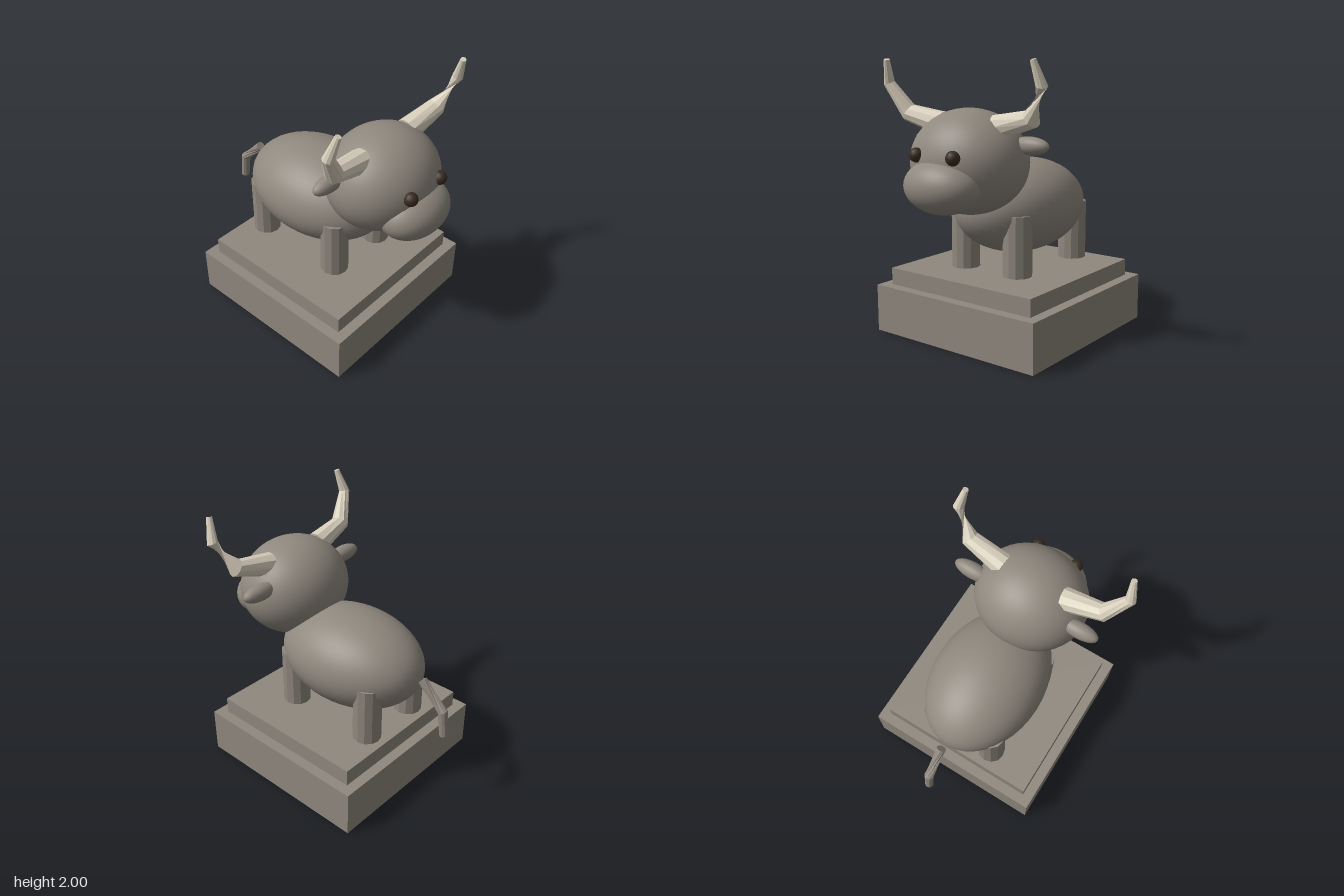
import * as THREE from 'three';

const stone = new THREE.MeshStandardMaterial({ color: 0x8f887e });
stone.name = 'stone';
const horn = new THREE.MeshStandardMaterial({ color: 0xd8cfbc, side: THREE.DoubleSide });
horn.name = 'horn';
const eyeDark = new THREE.MeshStandardMaterial({ color: 0x382c21 });
eyeDark.name = 'eyeDark';

// Give every face its own normal
function faceted(geometry) {
  const g = geometry.index ? geometry.toNonIndexed() : geometry;
  g.computeVertexNormals();
  return g;
}

// Mitred tube through a few points, with a radius and twist at each one
function bentTube(points, radii, sides, twists = []) {
  const pts = points.map((p) => new THREE.Vector3(...p));
  const last = pts.length - 1;
  const positions = [];
  const index = [];
  pts.forEach((p, i) => {
    const a = p.clone().sub(pts[Math.max(i - 1, 0)]).normalize();
    const b = pts[Math.min(i + 1, last)].clone().sub(p).normalize();
    const dir = a.add(b).normalize();
    const ref = Math.abs(dir.z) > 0.5 ? new THREE.Vector3(1, 0, 0) : new THREE.Vector3(0, 0, 1);
    const u = ref.addScaledVector(dir, -ref.dot(dir)).normalize();
    const v = dir.clone().cross(u);
    for (let j = 0; j < sides; j++) {
      const t = (j / sides) * Math.PI * 2 + (twists[i] || 0);
      const q = p.clone()
        .addScaledVector(u, radii[i] * Math.cos(t))
        .addScaledVector(v, radii[i] * Math.sin(t));
      positions.push(q.x, q.y, q.z);
    }
  });
  for (let i = 0; i < last; i++) {
    for (let j = 0; j < sides; j++) {
      const k = (j + 1) % sides;
      const a = i * sides + j, b = i * sides + k;
      index.push(a, b, a + sides, b, b + sides, a + sides);
    }
  }
  // End caps
  const end = last * sides;
  for (let j = 1; j < sides - 1; j++) {
    index.push(0, j + 1, j, end, end + j, end + j + 1);
  }
  const g = new THREE.BufferGeometry();
  g.setAttribute('position', new THREE.Float32BufferAttribute(positions, 3));
  g.setIndex(index);
  return faceted(g);
}

export function createModel() {
  const group = new THREE.Group();
  group.name = 'bullStatue';
  group.position.x = -0.004;

  function add(name, geometry, material, position = [0, 0, 0], scale = [1, 1, 1]) {
    const mesh = new THREE.Mesh(geometry, material);
    mesh.name = name;
    mesh.position.set(...position);
    mesh.scale.set(...scale);
    group.add(mesh);
    return mesh;
  }

  // Stepped plinth
  add('plinthBase', new THREE.BoxGeometry(1.416, 0.35, 1.416), stone, [0, 0.175, 0.02]);
  add('plinthStep', new THREE.BoxGeometry(1.26, 0.13, 1.26), stone, [0, 0.41, 0.02]);

  // Rounded masses
  const ball = new THREE.SphereGeometry(1, 40, 28);
  add('body', ball, stone, [0, 0.92, -0.1], [0.425, 0.353, 0.592]);
  add('head', ball, stone, [0, 1.303, 0.492], [0.432, 0.368, 0.387]);
  add('muzzle', ball, stone, [0, 1.163, 0.775], [0.295, 0.189, 0.215]);

  // Legs
  const leg = faceted(new THREE.CylinderGeometry(0.106, 0.106, 0.45, 12));
  for (const [end, z] of [['front', 0.262], ['back', -0.453]]) {
    for (const [side, s] of [['Left', 1], ['Right', -1]]) {
      add(end + side + 'Leg', leg, stone, [s * 0.239, 0.695, z]);
    }
  }

  // Eyes, ears and horns; the left horn is wrung like twisted stone
  const eyeBall = new THREE.SphereGeometry(0.05, 14, 10);
  const earBall = new THREE.SphereGeometry(1, 20, 14);
  for (const [side, s] of [['left', 1], ['right', -1]]) {
    add(side + 'Eye', eyeBall, eyeDark, [s * 0.16, 1.37, 0.85]);
    add(side + 'Ear', earBall, stone, [s * 0.44, 1.43, 0.395], [0.15, 0.062, 0.062]);
    const path = [[s * 0.245, 1.55, 0.493], [s * 0.54, 1.62, 0.52], [s * 0.667, 1.83, 0.59], [s * 0.635, 1.995, 0.64]];
    const twists = s > 0 ? [0, 0.45, 3.25, 3.25] : [];
    add(side + 'Horn', bentTube(path, [0.088, 0.067, 0.041, 0.021], 10, twists), horn);
  }

  // Tail, held just clear of the rump
  const tailPath = [[0, 0.978, -0.745], [0, 0.797, -0.933], [0, 0.607, -0.957]];
  add('tail', bentTube(tailPath, [0.036, 0.036, 0.033], 10), stone);

  return group;
}
